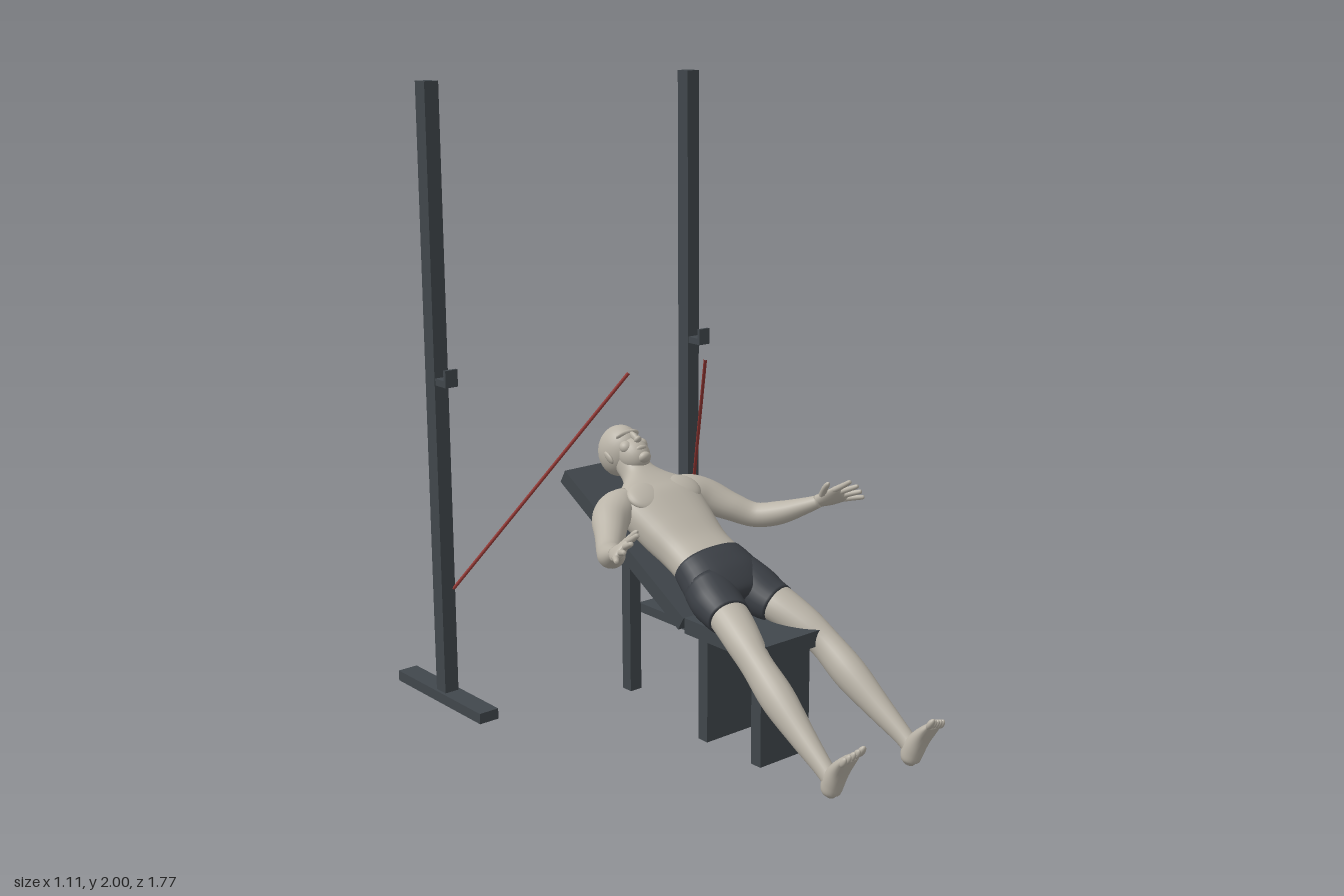
import * as THREE from 'three';

const mat = (name, color, side = THREE.FrontSide) => {
  const m = new THREE.MeshStandardMaterial({ color, side });
  m.name = name;
  return m;
};

// Smooth body: elliptical rings swept through stations [x, y, z, halfWidth, halfDepth];
// "front" is the direction the depth axis points to, "power" below 1 squares the rings.
function loft(stations, front, sides = 20, perSpan = 5, power = 1) {
  const path = new THREE.CatmullRomCurve3(stations.map(p => new THREE.Vector3(p[0], p[1], p[2])), false, 'catmullrom');
  const radii = new THREE.CatmullRomCurve3(stations.map(p => new THREE.Vector3(p[3], p[4], 0)), false, 'catmullrom');
  const rings = (stations.length - 1) * perSpan, pos = [], index = [];
  const bend = v => Math.sign(v) * Math.abs(v) ** power;
  for (let i = 0; i <= rings; i++) {
    const c = path.getPoint(i / rings), r = radii.getPoint(i / rings), t = path.getTangent(i / rings);
    const n = front.clone().addScaledVector(t, -front.dot(t)).normalize();
    const b = n.clone().cross(t);
    for (let j = 0; j < sides; j++) {
      const a = j / sides * Math.PI * 2;
      const p = c.clone().addScaledVector(b, bend(Math.cos(a)) * r.x).addScaledVector(n, bend(Math.sin(a)) * r.y);
      pos.push(p.x, p.y, p.z);
      if (i < rings) {
        const k = i * sides + j, l = i * sides + (j + 1) % sides;
        index.push(k, l, k + sides, l, l + sides, k + sides);
      }
    }
  }
  // end caps
  const first = path.getPoint(0), last = path.getPoint(1), n0 = pos.length / 3, top = rings * sides;
  pos.push(first.x, first.y, first.z, last.x, last.y, last.z);
  for (let j = 0; j < sides; j++) {
    const k = (j + 1) % sides;
    index.push(n0, k, j, n0 + 1, top + j, top + k);
  }
  const g = new THREE.BufferGeometry();
  g.setAttribute('position', new THREE.Float32BufferAttribute(pos, 3));
  g.setIndex(index);
  g.computeVertexNormals();
  return g;
}

export function createModel() {
  const model = new THREE.Group();
  model.name = 'benchWithFigure';
  const steel = mat('darkSteel', 0x41474c), skin = mat('skin', 0xbab4a8);
  const cloth = mat('shorts', 0x3b3f45), red = mat('redBand', 0x963834);

  const add = (name, geo, material, parent = model) => {
    const m = new THREE.Mesh(geo, material);
    m.name = name;
    parent.add(m);
    return m;
  };
  const box = (name, w, h, d, x, y, z) => {
    const m = add(name, new THREE.BoxGeometry(w, h, d), steel);
    m.position.set(x, y, z);
    return m;
  };
  const ball = (name, parent, x, y, z, rx, ry, rz) => {
    const m = add(name, new THREE.SphereGeometry(1, 28, 20), skin, parent);
    m.position.set(x, y, z);
    m.scale.set(rx, ry, rz);
    return m;
  };

  // Bench
  box('seat', 0.26, 0.05, 0.345, 0, 0.37, 0.273);
  box('frontLeg', 0.2, 0.345, 0.042, 0, 0.1725, 0.395);
  box('middleLeg', 0.2, 0.345, 0.042, 0, 0.1725, 0.153);
  box('rearLeg', 0.045, 0.59, 0.042, 0, 0.295, -0.322);
  box('backrest', 0.26, 0.05, 0.69, 0, 0.543, -0.215).rotation.x = Math.PI / 6;

  // Uprights, hooks and bands
  for (const s of [1, -1]) {
    box('uprightPost', 0.05, 2, 0.052, s * 0.52, 1, -0.64);
    box('postFoot', 0.07, 0.035, 0.485, s * 0.52, 0.0175, -0.643);
    box('hookArm', 0.045, 0.022, 0.06, s * 0.52, 1.075, -0.585);
    box('hookLip', 0.045, 0.055, 0.012, s * 0.52, 1.0915, -0.561);
    const cord = new THREE.LineCurve3(new THREE.Vector3(s * 0.5, 0.385, -0.615), new THREE.Vector3(s * 0.155, 1.13, -0.13));
    add('resistanceBand', new THREE.TubeGeometry(cord, 1, 0.0055, 8), red);
  }

  // Torso and shorts
  const front = new THREE.Vector3(0, 0.87, 0.5);
  const figure = new THREE.Group();
  figure.name = 'figure';
  model.add(figure);
  add('torso', loft([
    [0, 0.79, -0.335, 0.048, 0.05], [0, 0.752, -0.285, 0.053, 0.05], [0, 0.73, -0.255, 0.085, 0.053],
    [0, 0.7, -0.215, 0.148, 0.064], [0, 0.665, -0.165, 0.155, 0.078], [0, 0.61, -0.08, 0.139, 0.078],
    [0, 0.565, 0, 0.124, 0.072], [0, 0.53, 0.075, 0.126, 0.07]], front, 36, 6, 0.85), skin, figure);
  add('shortsWaist', loft([
    [0, 0.538, 0.062, 0.128, 0.075], [0, 0.515, 0.1, 0.137, 0.081], [0, 0.485, 0.15, 0.145, 0.08],
    [0, 0.455, 0.2, 0.115, 0.062], [0, 0.445, 0.215, 0.06, 0.035]], front, 36, 6, 0.85), cloth, figure);

  // Head, tilted back with the bench
  const head = new THREE.Group();
  head.name = 'head';
  head.position.set(0, 0.81, -0.355);
  head.rotation.x = -Math.PI / 3;
  figure.add(head);
  ball('skull', head, 0, 0.015, -0.01, 0.066, 0.08, 0.088);
  ball('jaw', head, 0, -0.045, 0.026, 0.05, 0.062, 0.053);
  ball('chin', head, 0, -0.092, 0.055, 0.022, 0.016, 0.02);
  ball('brow', head, 0, 0.012, 0.06, 0.046, 0.012, 0.021);
  ball('nose', head, 0, -0.02, 0.079, 0.009, 0.024, 0.012);
  ball('noseTip', head, 0, -0.036, 0.082, 0.013, 0.01, 0.014);
  ball('lips', head, 0, -0.064, 0.07, 0.02, 0.009, 0.01);
  for (const s of [1, -1]) {
    ball('cheek', head, s * 0.03, -0.03, 0.05, 0.022, 0.022, 0.02);
    ball('ear', head, s * 0.066, -0.01, -0.005, 0.008, 0.026, 0.016).rotation.y = s * 0.4;
  }

  for (const s of [1, -1]) {
    const dir = (x, y, z) => new THREE.Vector3(s * x, y, z);
    const limb = (name, stations, facing, material = skin, sides = 20) =>
      add(name, loft(stations.map(([x, ...rest]) => [s * x, ...rest]), facing, sides), material, figure);

    ball('chestMuscle', figure, s * 0.07, 0.715, -0.15, 0.07, 0.06, 0.024).rotation.x = -Math.PI / 3;

    // Arm
    limb('arm', [
      [0.1, 0.695, -0.21, 0.045, 0.045], [0.15, 0.682, -0.2, 0.062, 0.055], [0.2, 0.66, -0.17, 0.06, 0.056],
      [0.25, 0.63, -0.11, 0.048, 0.046], [0.3, 0.606, -0.05, 0.04, 0.04], [0.345, 0.62, 0.02, 0.041, 0.038],
      [0.39, 0.65, 0.09, 0.028, 0.027], [0.415, 0.67, 0.13, 0.021, 0.02]], dir(0, 1, 0));

    // Hand: fingers run along "reach" and fan out along "span"
    const reach = [0.36, 0.36, 0.86], span = [-0.75, 0.66, 0.04], palmUp = dir(0.535, 0.655, -0.49);
    const at = (o, k, w) => o.map((v, i) => v + reach[i] * k + span[i] * w);
    const wrist = [0.412, 0.668, 0.12], knuckles = [0.445, 0.703, 0.195], thumbRoot = [0.42, 0.683, 0.145];
    limb('palm', [
      [...wrist, 0.021, 0.019], [...at(wrist, 0.04, 0), 0.033, 0.018],
      [...knuckles, 0.04, 0.013], [...at(knuckles, 0.012, 0), 0.03, 0.006]], palmUp);
    for (const k of [-1.5, -0.5, 0.5, 1.5]) {
      const long = 0.075 - Math.abs(k - 0.3) * 0.009;
      limb('finger', [
        [...at(knuckles, -0.01, k * 0.019), 0.01, 0.01], [...at(knuckles, long * 0.5, k * 0.026), 0.009, 0.009],
        [...at(knuckles, long * 0.93, k * 0.032), 0.007, 0.007], [...at(knuckles, long, k * 0.033), 0.002, 0.002]],
        palmUp, skin, 10);
    }
    limb('thumb', [
      [...at(thumbRoot, 0, 0.01), 0.014, 0.013], [...at(thumbRoot, 0.025, 0.042), 0.011, 0.01],
      [...at(thumbRoot, 0.05, 0.064), 0.008, 0.008], [...at(thumbRoot, 0.058, 0.07), 0.002, 0.002]], palmUp, skin, 10);

    // Leg
    limb('shortsLeg', [
      [0.075, 0.492, 0.135, 0.07, 0.074], [0.083, 0.465, 0.19, 0.08, 0.073], [0.09, 0.446, 0.235, 0.076, 0.067],
      [0.098, 0.434, 0.275, 0.07, 0.06]], front, cloth, 28);
    limb('leg', [
      [0.09, 0.452, 0.22, 0.064, 0.058], [0.1, 0.433, 0.28, 0.065, 0.056], [0.124, 0.388, 0.37, 0.056, 0.054],
      [0.14, 0.345, 0.44, 0.046, 0.051], [0.149, 0.275, 0.54, 0.05, 0.055], [0.158, 0.2, 0.65, 0.038, 0.042],
      [0.165, 0.138, 0.745, 0.027, 0.03], [0.166, 0.108, 0.785, 0.026, 0.028]], front, skin, 24);

    // Foot, heel to ball, then toes
    limb('foot', [
      [0.163, 0.06, 0.775, 0.013, 0.014], [0.164, 0.078, 0.777, 0.028, 0.03], [0.165, 0.11, 0.787, 0.031, 0.034],
      [0.167, 0.15, 0.811, 0.032, 0.028], [0.17, 0.19, 0.843, 0.038, 0.018], [0.171, 0.21, 0.861, 0.036, 0.011]],
      dir(0, -0.53, 0.85));
    for (let i = 0; i < 5; i++) {
      const toe = ball('toe', figure, s * (0.142 + i * 0.0148), 0.222 - i * 0.005, 0.871 - i * 0.003,
        i ? 0.008 : 0.012, i ? 0.018 : 0.021, 0.01);
      toe.rotation.x = 0.56;
    }
  }
  return model;
}
